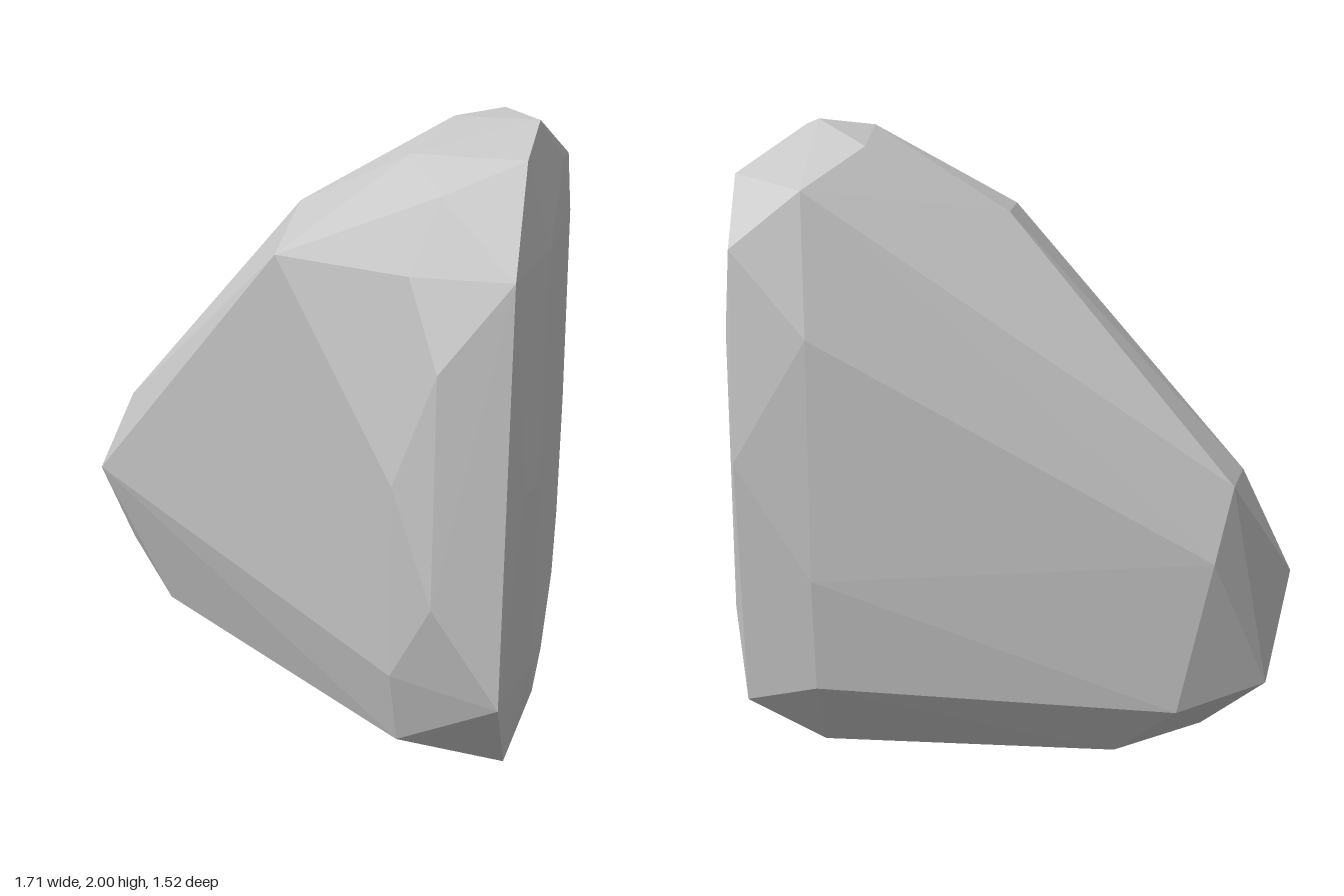
import * as THREE from 'three';
import { ConvexGeometry } from 'three/addons/geometries/ConvexGeometry.js';

// Corner points of the faceted boulder, grouped by region.
const crown = [
  [0.78, 2.0, 0.2], [0.5, 1.99, 0], [0.63, 2.0, -0.24],
  [0.05, 1.735, 0.155], [0.02, 1.715, -0.33], [0.44, 1.92, 0.44],
  [0.78, 1.92, 0.54], [0.56, 1.83, 0.645], [0.44, 1.91, -0.45],
  [0.82, 1.83, -0.515], [0.58, 1.78, -0.69],
];
const frontFace = [
  [0.05, 1.62, 0.475], [0.485, 1.615, 0.69], [0.78, 1.62, 0.738],
  [0.58, 1.36, 0.76], [0.455, 1.02, 0.73], [0.58, 0.67, 0.76],
  [0.445, 0.395, 0.648], [0.78, 0.365, 0.735], [0.455, 0.14, 0.56],
];
const backFace = [
  [0.785, 1.615, -0.725], [0.56, 1.36, -0.755], [0.78, 1.0, -0.76],
  [0.56, 0.65, -0.755], [0.56, 0.31, -0.715], [0.82, 0.21, -0.555],
];
const tip = [
  [-0.705, 0.93, -0.33], [-0.67, 0.92, -0.565], [-0.615, 0.7, -0.63],
  [-0.855, 0.62, -0.365], [-0.78, 0.3, -0.495], [-0.51, 0.24, -0.625],
];
const base = [
  [-0.588, 0.115, -0.365], [-0.32, 0.065, -0.495], [0.59, 0.065, -0.49],
  [0.555, 0, 0], [0.55, 0.03, 0.31], [0.78, 0.075, 0.5],
];
// Broad, slightly bulging side slab
const sideFace = [
  [0.83, 0.13, -0.22], [0.83, 0.13, 0.115], [0.845, 0.36, -0.365],
  [0.845, 0.36, 0.365], [0.845, 1.66, 0.455], [0.845, 1.66, -0.355],
  [0.832, 1.86, -0.11], [0.832, 1.37, -0.62], [0.838, 0.52, -0.59],
  [0.85, 1.0, -0.4], [0.85, 1.0, 0.5], [0.822, 1.0, 0.66],
];

export function createModel() {
  const group = new THREE.Group();
  group.name = 'boulder';

  const stone = new THREE.MeshStandardMaterial({ color: 0xc8c8c8 });
  stone.name = 'light grey stone';

  // The hull of the corners gives the flat, chiselled facets.
  const corners = [crown, frontFace, backFace, tip, base, sideFace]
    .flat()
    .map((p) => new THREE.Vector3(...p));
  const rock = new THREE.Mesh(new ConvexGeometry(corners), stone);
  rock.name = 'rock';
  group.add(rock);

  return group;
}
